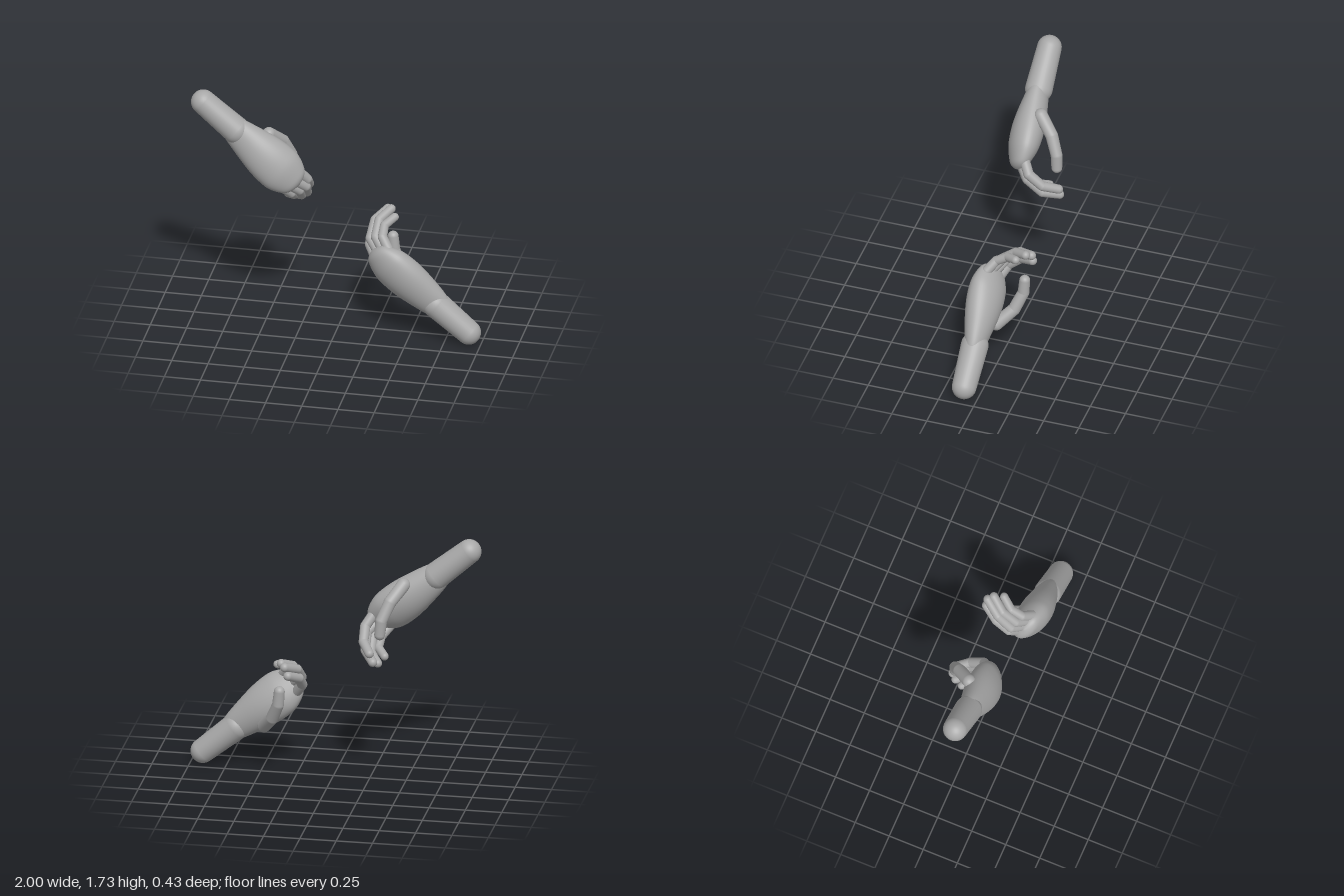
import * as THREE from 'three';
import { mergeVertices } from 'three/addons/utils/BufferGeometryUtils.js';

const skin = new THREE.MeshStandardMaterial({ color: 0xa8a8a8 });
skin.name = 'plain grey';

function addMesh(parent, geometry, name) {
  const mesh = new THREE.Mesh(geometry, skin);
  mesh.name = name;
  parent.add(mesh);
  return mesh;
}

// Chain of tapered rods with a ball at each joint; each point is [x, y, z, radius]
function createChain(name, points) {
  const chain = new THREE.Group();
  chain.name = name;
  const up = new THREE.Vector3(0, 1, 0);
  points.forEach(([x, y, z, r], i) => {
    const a = new THREE.Vector3(x, y, z);
    addMesh(chain, new THREE.SphereGeometry(r, 32, 20), name + 'Joint').position.copy(a);
    if (i === points.length - 1) return;
    const [bx, by, bz, br] = points[i + 1];
    const dir = new THREE.Vector3(bx, by, bz).sub(a);
    const rod = addMesh(chain, new THREE.CylinderGeometry(br, r, dir.length(), 32, 1, true), name + 'Segment');
    rod.position.copy(a).addScaledVector(dir, 0.5);
    rod.quaternion.setFromUnitVectors(up, dir.normalize());
  });
  return chain;
}

// Palm: a turned profile, flattened, and tilted progressively towards the knuckles
function createPalm() {
  const profile = [
    [0, 0.225], [0.07, 0.24], [0.098, 0.29], [0.128, 0.43], [0.147, 0.55], [0.152, 0.65],
    [0.143, 0.73], [0.104, 0.815], [0.06, 0.85], [0, 0.865],
  ].map(([r, y]) => new THREE.Vector2(r, y));
  const points = new THREE.SplineCurve(profile).getPoints(45);
  points.forEach((p) => { p.x = Math.max(p.x, 0); });
  let geometry = new THREE.LatheGeometry(points, 48);
  const pos = geometry.attributes.position;
  for (let i = 0; i < pos.count; i++) {
    const t = THREE.MathUtils.clamp((pos.getY(i) - 0.3) / 0.5, 0, 1);
    const flatness = 0.7 + 0.09 * Math.sin(Math.PI * t) - 0.05 * t;
    pos.setZ(i, pos.getZ(i) * flatness + 0.095 + 0.3 * t * pos.getX(i) + 0.008 * t);
  }
  geometry.deleteAttribute('uv');
  geometry.deleteAttribute('normal');
  geometry = mergeVertices(geometry, 1e-5);
  geometry.computeVertexNormals();
  const palm = new THREE.Mesh(geometry, skin);
  palm.name = 'palm';
  palm.position.set(0.915, 0.09, 0);
  palm.rotation.z = 0.871;
  return palm;
}

function createHand(name) {
  const hand = new THREE.Group();
  hand.name = name;
  hand.add(
    createChain('forearm', [[0.916, 0.085, 0.094, 0.084], [0.69, 0.275, 0.094, 0.094]]),
    createPalm(),
    createChain('thumb', [
      [0.48, 0.325, 0.01, 0.046], [0.405, 0.42, -0.092, 0.043],
      [0.355, 0.54, -0.143, 0.04], [0.345, 0.637, -0.148, 0.037],
    ]),
    createChain('indexFinger', [
      [0.27, 0.56, 0.06, 0.036], [0.217, 0.64, 0.01, 0.035],
      [0.222, 0.72, -0.085, 0.033], [0.28, 0.765, -0.182, 0.031],
    ]),
    createChain('middleFinger', [
      [0.295, 0.62, 0.085, 0.036], [0.224, 0.69, 0.02, 0.035],
      [0.235, 0.782, -0.08, 0.033], [0.303, 0.826, -0.182, 0.031],
    ]),
    createChain('ringFinger', [
      [0.328, 0.65, 0.1, 0.036], [0.264, 0.715, 0.04, 0.034],
      [0.268, 0.798, -0.06, 0.032], [0.332, 0.842, -0.15, 0.03],
    ]),
    createChain('littleFinger', [
      [0.365, 0.67, 0.115, 0.034], [0.315, 0.73, 0.065, 0.032],
      [0.312, 0.78, -0.015, 0.03], [0.368, 0.812, -0.09, 0.028],
    ]),
  );
  return hand;
}

export function createModel() {
  const model = new THREE.Group();
  model.name = 'reachingHands';
  const lowerHand = createHand('lowerHand');
  // The upper hand is the lower one turned half way round
  const upperHand = createHand('upperHand');
  upperHand.rotation.z = Math.PI;
  upperHand.position.y = 1.73;
  model.add(lowerHand, upperHand);
  return model;
}
